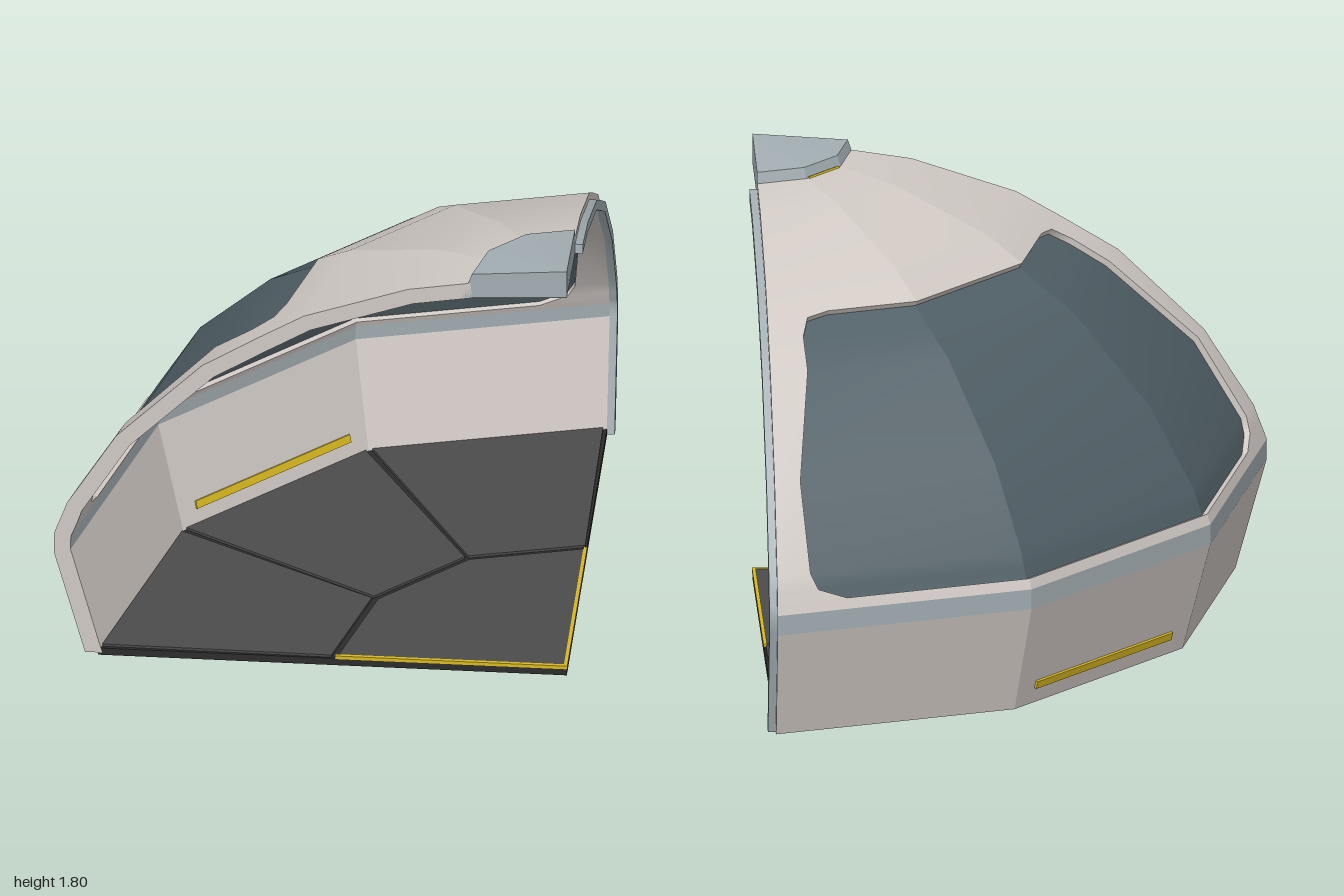
import * as THREE from 'three';
import { mergeGeometries } from 'three/addons/utils/BufferGeometryUtils.js';

const CX = 0.97, CZ = 0.985, STEP = Math.PI / 6, T = 0.066;

// Dome profile [radius, height]; the third number is the window's gap to the cut edge
const PROFILE = [
  [1.85, 0.01], [1.97, 0.45], [1.97, 0.53],
  [1.956, 0.57, 0.27], [1.941, 0.61, 0.16], [1.92, 0.67, 0.13], [1.73, 0.98, 0.1], [1.4, 1.31, 0.145],
  [1.256, 1.4, 0.135], [1.18, 1.448, 0.155], [1.16, 1.46, 0.235],
  [1.01, 1.55], [0.61, 1.69], [0.37, 1.73], [0, 1.75],
];
const W0 = 3, W1 = 10, RIM = 13, LAST = PROFILE.length - 1;

const material = (color) => new THREE.MeshStandardMaterial({ color, side: THREE.DoubleSide });
const shellMat = material(0xd0c9c4), trimMat = material(0xa2adb2), glassMat = material(0x505f66);
const baseMat = material(0x2c2c2c), tileMat = material(0x4c4c4c), yellowMat = material(0xd8b820);

// Point on the plan polygon around the corner axis; angle 0 points back, 90 degrees points right
const polar = (a, r, y) => new THREE.Vector3(CX - r * Math.sin(a), y, CZ - r * Math.cos(a));

// Profile point pushed inward by a depth
function ring(i, depth) {
  const [r, y] = PROFILE[i];
  const p = PROFILE[Math.max(i - 1, 0)], q = PROFILE[Math.min(i + 1, LAST)];
  const n = new THREE.Vector2(q[1] - p[1], p[0] - q[0]).normalize();
  if (i === 0) return [r - depth, y];
  if (i === LAST) return [0, y - depth];
  return [r - n.x * depth, y - n.y * depth];
}

// Point on facet k at fraction s across it
function at(i, depth, k, s) {
  const [r, y] = ring(i, depth);
  return polar(k * STEP, r, y).lerp(polar((k + 1) * STEP, r, y), s);
}

// Band of quads through a list of point pairs, smooth along its length
function strip(pairs) {
  const g = new THREE.BufferGeometry().setFromPoints(pairs.flat());
  const index = [];
  for (let j = 0; j < pairs.length - 1; j++) {
    const a = 2 * j;
    index.push(a, a + 1, a + 3, a, a + 3, a + 2);
  }
  g.setIndex(index);
  g.computeVertexNormals();
  return g;
}

const rows = (i0, i1, fn) => strip(Array.from({ length: i1 - i0 + 1 }, (_, j) => fn(i0 + j)));
const inset = (i) => PROFILE[i][2] / (0.5 * PROFILE[i][0]);
const windowSpan = (i, k) => [k === 0 ? inset(i) : 0, k === 2 ? 1 - inset(i) : 1];
const panel = (i0, i1, depth, k) => rows(i0, i1, (i) => [at(i, depth, k, 0), at(i, depth, k, 1)]);

// Flat plate on the floor between two radii
function plate(r0, r1, a0, a1, y0, y1) {
  const steps = Math.round((a1 - a0) / STEP);
  const arc = (r) => Array.from({ length: steps + 1 }, (_, j) => polar(a0 + (a1 - a0) * j / steps, r, 0));
  const pts = [...arc(r1), ...(r0 > 0 ? arc(r0).reverse() : [polar(0, 0, 0)])];
  const shape = new THREE.Shape(pts.map((p) => new THREE.Vector2(p.x, -p.z)));
  return new THREE.ExtrudeGeometry(shape, { depth: y1 - y0, bevelEnabled: false })
    .rotateX(-Math.PI / 2).translate(0, y0, 0);
}

export function createModel() {
  const model = new THREE.Group();
  const add = (name, geometry, mat) => {
    const m = new THREE.Mesh(geometry, mat);
    m.name = name;
    model.add(m);
    return m;
  };

  // Shell, waist band and glass, facet by facet
  const shell = [], band = [], glass = [];
  for (let k = 0; k < 3; k++) {
    for (const d of [0, T]) {
      shell.push(panel(0, 1, d, k), panel(2, W0, d, k), panel(W1, LAST, d, k));
      band.push(panel(1, 2, d, k));
      if (k !== 1) {
        shell.push(rows(W0, W1, (i) => {
          const [a, b] = windowSpan(i, k);
          return k === 0 ? [at(i, d, k, 0), at(i, d, k, a)] : [at(i, d, k, b), at(i, d, k, 1)];
        }));
      }
    }
    for (const d of [0.024, 0.046]) {
      glass.push(rows(W0, W1, (i) => windowSpan(i, k).map((s) => at(i, d, k, s))));
    }
    // Sill and head of the window opening, and the foot of the wall
    for (const i of [W0, W1]) shell.push(strip(windowSpan(i, k).map((s) => [at(i, 0, k, s), at(i, T, k, s)])));
    shell.push(strip([0, 1].map((s) => [at(0, 0, k, s), at(0, T, k, s)])));
  }
  // Window jambs and cut edges at both ends
  for (const [k, e] of [[0, 0], [2, 1]]) {
    shell.push(rows(W0, W1, (i) => [0, T].map((d) => at(i, d, k, windowSpan(i, k)[e]))));
    shell.push(rows(0, RIM, (i) => [0, T].map((d) => at(i, d, k, e))));
  }
  add('domeShell', mergeGeometries(shell), shellMat);
  add('waistBand', mergeGeometries(band), trimMat);
  add('windowGlass', mergeGeometries(glass), glassMat);

  // Raised seal along the left cut edge
  const sealPoint = (i, d, x) => at(i, d, 0, 0).setX(x);
  const sealSides = [[0.4 * T, CX, 0.4 * T, 1], [0.4 * T, 1, T, 1], [T, 1, T, CX]];
  const seal = sealSides.map(([d0, x0, d1, x1]) =>
    rows(0, RIM, (i) => [sealPoint(i, d0, x0), sealPoint(i, d1, x1)]));
  for (const i of [0, RIM]) {
    seal.push(strip([CX, 1].map((x) => [sealPoint(i, 0.4 * T, x), sealPoint(i, T, x)])));
  }
  add('edgeSeal', mergeGeometries(seal), trimMat);

  // Crown cap at the top corner
  const section = [[0, 1.685], [0.4, 1.665], [0.365, 1.77], [0, 1.8]];
  const cap = [];
  for (let k = 0; k < 3; k++) {
    for (let j = 0; j < 3; j++) {
      cap.push(strip([section[j], section[j + 1]].map(([r, y]) =>
        [polar(k * STEP, r, y), polar((k + 1) * STEP, r, y)])));
    }
  }
  for (const a of [0, 3 * STEP]) {
    const [p, q, u, v] = section.map(([r, y]) => polar(a, r, y));
    cap.push(strip([[p, v], [q, u]]));
  }
  add('crownCap', mergeGeometries(cap), trimMat);

  // Floor base with separate tiles
  add('floorBase', plate(0, 1.8, 0, 3 * STEP, 0, 0.03), baseMat);
  add('innerFloorTile', plate(0, 0.88, 0, 3 * STEP, 0.03, 0.04), tileMat);
  for (let k = 0; k < 3; k++) {
    add('outerFloorTile', plate(0.905, 1.785, k * STEP + 0.008, (k + 1) * STEP - 0.008, 0.03, 0.04), tileMat);
  }

  // Yellow trims on the two straight edges of the inner tile
  const edgeTrim = new THREE.BoxGeometry(0.89, 0.014, 0.014);
  add('floorTrimFront', edgeTrim, yellowMat).position.set(CX - 0.445, 0.035, CZ - 0.005);
  const sideTrim = add('floorTrimSide', edgeTrim, yellowMat);
  sideTrim.position.set(CX - 0.005, 0.035, CZ - 0.445);
  sideTrim.rotation.y = Math.PI / 2;

  // Yellow marker bars on the middle facet: through the lower wall, on the cap and on the ceiling
  const marker = (name, w, h, d, r, y, tilt) => {
    const m = add(name, new THREE.BoxGeometry(w, h, d), yellowMat);
    m.position.copy(polar(Math.PI / 4, r, y));
    m.rotation.set(tilt, Math.PI / 4, 0, 'YXZ');
  };
  marker('wallMarker', 0.77, 0.032, 0.08, 1.78, 0.1, -0.26);
  marker('capMarker', 0.17, 0.035, 0.02, 0.366, 1.715, 0.32);
  marker('ceilingMarker', 0.17, 0.012, 0.04, 0.4, 1.663, 0.1);

  return model;
}
